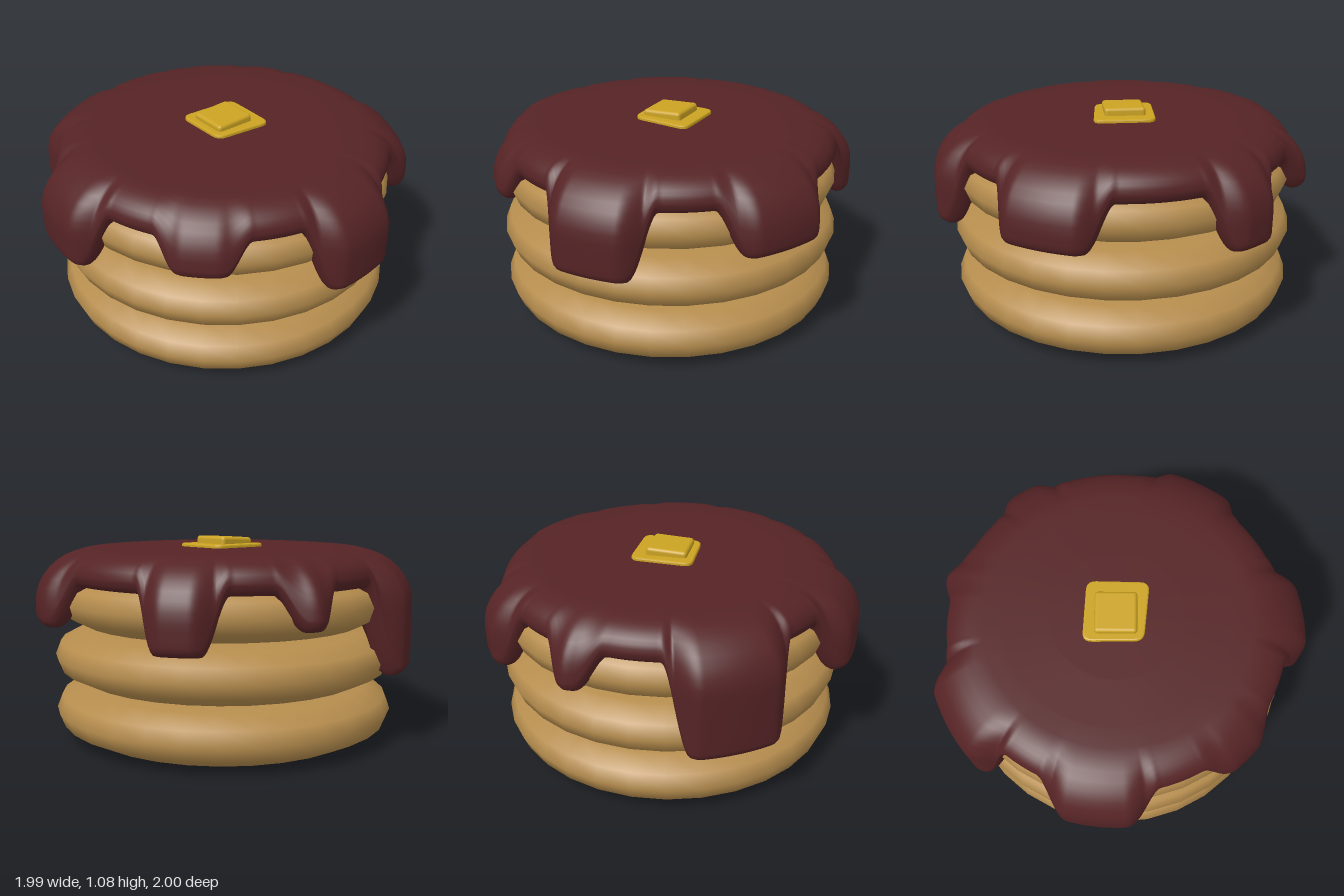
import * as THREE from 'three';
import { RoundedBoxGeometry } from 'three/addons/geometries/RoundedBoxGeometry.js';

const CENTER = -0.025; // the stack sits slightly off centre in x and z

// Syrup drips: angle and half width in degrees, lowest height, outer radius
const DRIPS = [
  [-5.5, 15, 0.53, 1.025],
  [45, 11.5, 0.695, 0.97],
  [95.5, 15.5, 0.57, 1.025],
  [149, 17, 0.39, 1.03],
  [197.5, 6.5, 0.68, 1.0],
  [236, 10.5, 0.58, 1.015],
  [298, 16, 0.635, 1.025],
];

// Lip height and outer radius of the syrup at an angle
function syrupEdge(deg) {
  let bottom = 0.845, radius = 0.895;
  for (const [center, half, low, outer] of DRIPS) {
    const d = Math.abs(((deg - center + 540) % 360) - 180);
    const drop = 1 - THREE.MathUtils.smoothstep(d, half - 4, half + 4);
    const bulge = 1 - THREE.MathUtils.smoothstep(d, half - 7, half + 5);
    bottom += (low - 0.845) * drop;
    radius += (outer - 0.895) * bulge;
  }
  return { bottom, radius };
}

// Cross-section of the syrup from the middle of the top to behind the lip
function syrupProfile(deg) {
  const { bottom, radius } = syrupEdge(deg);
  const top = 1.022, flat = 0.7, lip = 0.05;
  const shoulder = Math.max(bottom + lip + 0.01, 0.74);
  const points = [[0, top], [0.35, top], [0.6, top]];
  for (let i = 0; i <= 9; i++) {
    const a = (i / 9) * Math.PI / 2;
    points.push([flat + (radius - flat) * Math.sin(a), shoulder + (top - shoulder) * Math.cos(a)]);
  }
  for (let i = 1; i <= 3; i++) {
    points.push([radius, THREE.MathUtils.lerp(shoulder, bottom + lip, i / 3)]);
  }
  for (let i = 1; i <= 8; i++) {
    const a = (i / 8) * Math.PI;
    points.push([radius - lip + lip * Math.cos(a), bottom + lip - lip * Math.sin(a)]);
  }
  points.push([radius - 0.2, Math.max(bottom, 0.76)]);
  return points;
}

function syrupGeometry() {
  const steps = 540, positions = [], index = [];
  let rows = 0;
  for (let j = 0; j < steps; j++) {
    const deg = (j / steps) * 360, a = THREE.MathUtils.degToRad(deg);
    const profile = syrupProfile(deg);
    rows = profile.length;
    for (const [r, y] of profile) positions.push(r * Math.cos(a), y, r * Math.sin(a));
  }
  for (let j = 0; j < steps; j++) {
    const next = (j + 1) % steps;
    for (let i = 0; i < rows - 1; i++) {
      const a = j * rows + i, b = a + 1, c = next * rows + i, d = c + 1;
      if (i > 0) index.push(a, c, b);
      index.push(b, c, d);
    }
  }
  const geometry = new THREE.BufferGeometry();
  geometry.setAttribute('position', new THREE.Float32BufferAttribute(positions, 3));
  geometry.setIndex(index);
  geometry.computeVertexNormals();
  return geometry;
}

// Flat plate with rounded corners, outlined in x and z, extruded downwards
function roundedPlate(corners, round, depth, bevel) {
  const pts = corners.map(([x, z]) => new THREE.Vector2(x, z));
  const shape = new THREE.Shape();
  pts.forEach((p, i) => {
    const prev = pts[(i + 3) % 4], next = pts[(i + 1) % 4];
    const start = p.clone().add(prev.clone().sub(p).setLength(round));
    const end = p.clone().add(next.clone().sub(p).setLength(round));
    if (i === 0) shape.moveTo(start.x, start.y);
    else shape.lineTo(start.x, start.y);
    shape.quadraticCurveTo(p.x, p.y, end.x, end.y);
  });
  shape.closePath();
  const geometry = new THREE.ExtrudeGeometry(shape, {
    depth, bevelEnabled: true, bevelThickness: bevel, bevelSize: bevel,
    bevelOffset: -bevel, bevelSegments: 2, curveSegments: 5,
  });
  return geometry.rotateX(Math.PI / 2);
}

export function createModel() {
  const material = (name, color) => {
    const m = new THREE.MeshStandardMaterial({ color });
    m.name = name;
    return m;
  };
  const batter = material('golden batter', 0xb58c4d);
  const syrupColor = material('dark syrup', 0x552325);
  const butterColor = material('butter yellow', 0xcba322);

  const model = new THREE.Group();
  model.name = 'pancakeStack';
  const add = (name, geometry, mat, x, y, z) => {
    const mesh = new THREE.Mesh(geometry, mat);
    mesh.name = name;
    mesh.position.set(x, y, z);
    model.add(mesh);
    return mesh;
  };

  // Three pancakes with rounded rims
  const rim = [
    [0, 0], [0.35, 0], [0.58, 0.004], [0.79, 0.02], [0.9, 0.075], [0.93, 0.15],
    [0.9, 0.225], [0.79, 0.28], [0.58, 0.296], [0.35, 0.3], [0, 0.3],
  ].map(([r, y]) => new THREE.Vector2(r, y));
  const pancake = new THREE.LatheGeometry(rim, 32);
  ['bottomPancake', 'middlePancake', 'topPancake'].forEach((name, i) => {
    const mesh = add(name, pancake, batter, CENTER, i * 0.297, CENTER);
    if (i === 2) mesh.scale.set(0.975, 1, 0.975);
  });

  // Syrup cap with drips
  add('syrup', syrupGeometry(), syrupColor, CENTER, 0, CENTER);

  // Melted pool and the tilted pat of butter on it
  const pool = [[-0.185, -0.21], [0.145, -0.205], [0.115, 0.12], [-0.2, 0.125]];
  add('meltedButter', roundedPlate(pool, 0.05, 0.02, 0.008), butterColor, 0, 1.032, 0);
  const pat = add('butterPat', new RoundedBoxGeometry(0.22, 0.06, 0.22, 3, 0.018),
    butterColor, -0.03, 1.046, -0.025);
  pat.rotation.x = 0.05;

  return model;
}
